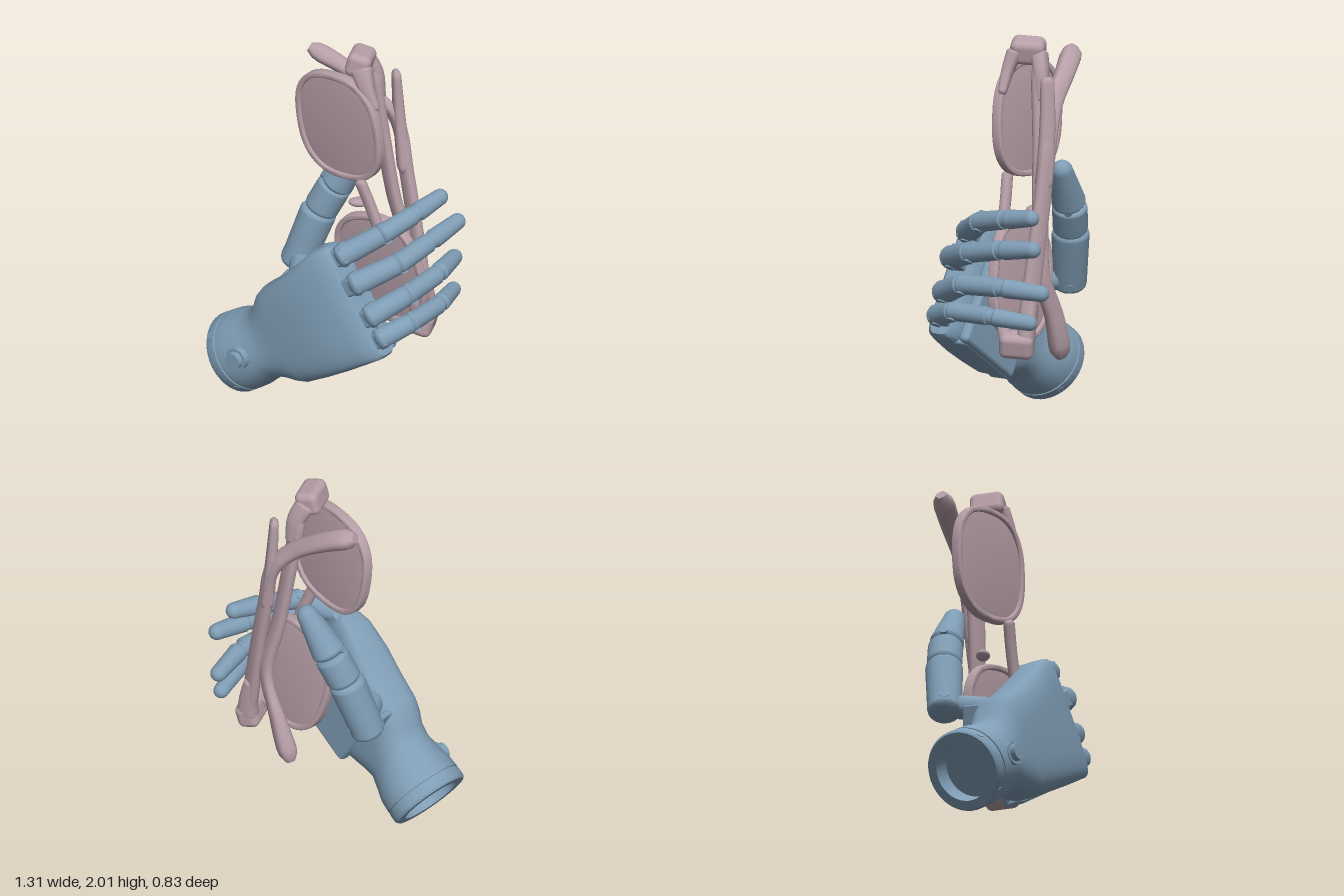
import * as THREE from 'three';
import { toCreasedNormals } from 'three/addons/utils/BufferGeometryUtils.js';
import { RoundedBoxGeometry } from 'three/addons/geometries/RoundedBoxGeometry.js';

const V = (x, y, z) => new THREE.Vector3(x, y, z);
const blue = new THREE.MeshStandardMaterial({ color: 0x7f9db5 });
const pink = new THREE.MeshStandardMaterial({ color: 0xb79fa8 });
const UP = V(0, 1, 0);
const ACROSS = [0.46, -0.83, 0.31]; // index to little finger
const ALONG = [0.66, 0.588, 0.468]; // wrist to knuckles

function part(parent, name, geometry, material) {
  const mesh = new THREE.Mesh(geometry, material);
  mesh.name = name;
  parent.add(mesh);
  return mesh;
}

// Skin through equally long closed rings of points
function loft(rings, crease = 0.7) {
  const n = rings[0].length, index = [];
  const g = new THREE.BufferGeometry().setFromPoints(rings.flat());
  for (let i = 0; i < rings.length - 1; i++) {
    for (let j = 0; j < n; j++) {
      const k = (j + 1) % n, a = i * n, b = a + n;
      index.push(a + j, a + k, b + k, a + j, b + k, b + j);
    }
  }
  g.setIndex(index);
  return toCreasedNormals(g, crease);
}

const spow = (v, e) => Math.sign(v) * Math.abs(v) ** e;

// Flattened rounded bar along a curve; width(t) and thick(t) are half sizes
function bar(parent, name, pts, hint, width, thick) {
  const curve = new THREE.CatmullRomCurve3(pts.map(p => V(...p)));
  const rings = [], N = 32;
  for (let i = 0; i <= N; i++) {
    const t = i / N, T = curve.getTangent(t), c = curve.getPoint(t);
    const W = V(...hint).addScaledVector(T, -T.dot(V(...hint))).normalize();
    const B = T.clone().cross(W);
    const ring = s => Array.from({ length: 16 }, (_, j) => {
      const q = j / 16 * Math.PI * 2;
      return c.clone().addScaledVector(W, s * width(t) * spow(Math.cos(q), 0.7))
        .addScaledVector(B, s * thick(t) * spow(Math.sin(q), 0.7));
    });
    const end = Math.min(t, 1 - t);
    if (i === 0) rings.push(ring(0));
    rings.push(ring(end === 0 ? 0.5 : end < 0.05 ? 0.9 : 1));
    if (i === N) rings.push(ring(0));
  }
  return part(parent, name, loft(rings, 0.9), pink);
}

// Tapered limb with rounded ends between two points
function limb(parent, name, a, b, r0, r1, tip = 0.5) {
  const dir = b.clone().sub(a), L = dir.length(), pts = [];
  for (let i = 0; i <= 6; i++) {
    const q = i / 6 * Math.PI / 2;
    pts.push(new THREE.Vector2(r0 * Math.sin(q), r0 * 0.5 * (1 - Math.cos(q))));
  }
  for (let i = 0; i <= 8; i++) {
    const q = i / 8 * Math.PI / 2;
    pts.push(new THREE.Vector2(r1 * Math.cos(q), L - r1 * tip * (1 - Math.sin(q))));
  }
  const m = part(parent, name, new THREE.LatheGeometry(pts, 20), blue);
  m.position.copy(a);
  m.quaternion.setFromUnitVectors(UP, dir.normalize());
  return m;
}

// Pose from a main x axis and an approximate y axis
function pose(obj, pos, x, y) {
  const X = V(...x).normalize(), Z = X.clone().cross(V(...y)).normalize();
  obj.quaternion.setFromRotationMatrix(new THREE.Matrix4().makeBasis(X, Z.clone().cross(X), Z));
  obj.position.set(...pos);
}

function pin(parent, name, r, h, pos, axis) {
  const m = part(parent, name, new THREE.CylinderGeometry(r, r, h, 20), blue);
  m.position.copy(pos);
  m.quaternion.setFromUnitVectors(UP, axis.clone().normalize());
}

function buildPalm(root) {
  // Local frame: x to the little finger, y to the knuckles, z to the back of the hand
  const g = new THREE.Group();
  g.name = 'palm';
  pose(g, [-0.505, 0.165, -0.215], ACROSS, ALONG);
  root.add(g);
  // y, centre x, half width, palm side z, back side z, squareness power
  const S = [
    [0.1, 0, 0, 0, 0, 1], [0.1, 0, 0.155, -0.155, 0.155, 1], [0, 0, 0.155, -0.155, 0.155, 1],
    [0, 0, 0.2, -0.2, 0.2, 1], [0.012, 0, 0.21, -0.21, 0.21, 1], [0.062, 0, 0.21, -0.21, 0.21, 1],
    [0.063, 0, 0.203, -0.203, 0.203, 1], [0.071, 0, 0.203, -0.203, 0.203, 1], [0.072, 0, 0.21, -0.21, 0.21, 1],
    [0.14, 0, 0.208, -0.205, 0.205, 1], [0.21, 0, 0.195, -0.18, 0.185, 0.97], [0.28, 0, 0.192, -0.15, 0.165, 0.9],
    [0.34, 0, 0.217, -0.14, 0.155, 0.8], [0.4, -0.008, 0.253, -0.135, 0.155, 0.68], [0.46, -0.01, 0.272, -0.13, 0.155, 0.58],
    [0.6, -0.013, 0.283, -0.12, 0.155, 0.52], [0.75, -0.028, 0.303, -0.11, 0.15, 0.47], [0.9, -0.045, 0.323, -0.09, 0.12, 0.42],
    [0.98, -0.04, 0.32, -0.075, 0.095, 0.42], [1.0, -0.037, 0.307, -0.06, 0.075, 0.45], [1.0, -0.037, 0, 0, 0, 0.45],
  ];
  const rings = S.map(([y, cx, hx, z0, z1, e]) => Array.from({ length: 40 }, (_, j) => {
    const q = j / 40 * Math.PI * 2;
    return V(cx + hx * spow(Math.sin(q), e), y, (z0 + z1) / 2 + (z1 - z0) / 2 * spow(Math.cos(q), e));
  }));
  part(g, 'palmShell', loft(rings), blue);
  part(g, 'palmPlate', new RoundedBoxGeometry(0.44, 0.5, 0.06, 3, 0.025), blue).position.set(0.05, 0.7, -0.11);
  part(g, 'edgePlate', new RoundedBoxGeometry(0.03, 0.46, 0.11, 3, 0.014), blue).position.set(0.262, 0.68, -0.06);
  // Round button on the back of the wrist
  pin(g, 'buttonCollar', 0.06, 0.05, V(0, 0.19, 0.185), V(0, 0, 1));
  pin(g, 'button', 0.045, 0.08, V(0, 0.19, 0.2), V(0, 0, 1));
  for (let i = 0; i < 4; i++) {
    const q = Math.PI / 4 + i * Math.PI / 2, d = V(Math.cos(q), 0, Math.sin(q));
    pin(g, 'wristScrew', 0.018, 0.01, d.clone().multiplyScalar(0.207).setY(0.035), d);
  }
}

function buildFinger(root, name, pts, r) {
  const g = new THREE.Group();
  g.name = name;
  root.add(g);
  const [k, a, b, tip] = pts.map(p => V(...p));
  const back = k.clone().addScaledVector(a.clone().sub(k).normalize(), -0.06);
  const side = V(...ACROSS);
  limb(g, 'proximal', back, a, r * 1.22, r * 1.1);
  limb(g, 'middle', a.clone().lerp(b, -0.2), b.clone().lerp(tip, 0.1), r * 1.04, r, 0.25);
  limb(g, 'fingertip', b.clone().lerp(tip, 0.13), tip, r, r * 0.84, 1);
  limb(g, 'joint', b.clone().lerp(a, 0.2), b.clone().lerp(tip, 0.3), r * 0.88, r * 0.88);
  pin(g, 'knuckleAxle', r * 0.5, r * 2.5, k, side);
  pin(g, 'jointAxle', r * 0.45, r * 2.2, a, side);
  // Bracket that holds the knuckle
  const m = part(g, 'knuckleBracket', new RoundedBoxGeometry(r * 1.9, 0.12, 0.11, 2, 0.015), blue);
  pose(m, k.clone().addScaledVector(V(...ALONG), -0.03).toArray(), ACROSS, ALONG);
}

function buildThumb(root) {
  const g = new THREE.Group();
  g.name = 'thumb';
  root.add(g);
  const base = V(-0.215, 0.61, -0.315), mid = V(-0.08, 0.97, -0.322), top = V(0.0, 1.11, -0.315), tip = V(0.148, 1.35, -0.268);
  limb(g, 'thumbBase', base, mid, 0.088, 0.096);
  limb(g, 'thumbMiddle', mid.clone().lerp(base, 0.12), top, 0.09, 0.09, 0.4);
  limb(g, 'thumbTip', top.clone().lerp(mid, 0.2), tip, 0.088, 0.056, 1.1);
  pin(g, 'thumbAxle', 0.02, 0.178, top, V(0.85, -0.5, 0.1));
  pin(g, 'thumbBaseAxle', 0.022, 0.182, V(-0.19, 0.67, -0.315), V(0.9, -0.4, 0));
  limb(g, 'thumbMount', V(-0.17, 0.66, -0.08), V(-0.18, 0.68, -0.3), 0.065, 0.06);
  for (let i = 0; i < 3; i++) {
    const m = part(g, 'thumbBracket', new RoundedBoxGeometry(0.035, 0.12, 0.13, 2, 0.01), blue);
    pose(m, [-0.245 + i * 0.05, 0.59 + i * 0.035, -0.16 + i * 0.02], [0.83, 0.3, 0.45], [-0.3, 0.9, 0]);
  }
}

function buildLens(root, name, pos, down, brow, hx, hy) {
  const g = new THREE.Group();
  g.name = name;
  pose(g, pos, down, brow);
  root.add(g);
  const outline = s => Array.from({ length: 48 }, (_, i) => {
    const q = i / 48 * Math.PI * 2;
    return new THREE.Vector2((hx - s) * spow(Math.cos(q), 0.78), (hy - s) * spow(Math.sin(q), 0.78));
  });
  const extrude = (shape, depth, bevel) => {
    const e = new THREE.ExtrudeGeometry(shape, { depth, bevelThickness: bevel, bevelSize: bevel, bevelSegments: 3 });
    return toCreasedNormals(e.translate(0, 0, -depth / 2), 0.6);
  };
  const rim = new THREE.Shape(outline(0.008));
  rim.holes.push(new THREE.Path(outline(0.022)));
  part(g, 'rim', extrude(rim, 0.036, 0.008), pink);
  part(g, 'lens', extrude(new THREE.Shape(outline(0.018)), 0.018, 0.003), pink);
}

function buildGlasses(root) {
  const g = new THREE.Group();
  g.name = 'foldedGlasses';
  root.add(g);
  buildLens(g, 'upperLens', [0.025, 1.56, -0.1], [0.12, -0.98, 0.02], [0.8, 0.04, 0.6], 0.3, 0.27);
  buildLens(g, 'lowerLens', [0.24, 0.765, -0.065], [0.25, -0.95, 0.04], [0.8, 0.2, 0.55], 0.31, 0.265);
  const c = v => () => v;
  bar(g, 'bridge', [[0.13, 1.3, 0], [0.18, 1.17, 0.01], [0.24, 1.0, 0.03]], [0.8, 0, 0.6], c(0.03), c(0.024));
  const pad = part(g, 'nosePad', new THREE.SphereGeometry(0.045, 16, 12), pink);
  pad.position.set(0.12, 1.1, -0.13);
  pad.scale.set(1.2, 0.5, 0.8);
  // Solid hinge corners with legs tapering into the rim and the arm
  const hinges = [
    ['upperHinge', [0.13, 1.93, -0.105], [[0.135, 1.93, -0.04], [0.165, 1.83, 0.0], [0.215, 1.72, 0.03]], [[0.145, 1.93, -0.16], [0.195, 1.83, -0.17], [0.215, 1.68, -0.17]], 0.125],
    ['lowerHinge', [0.455, 0.475, -0.045], [[0.455, 0.48, -0.005], [0.425, 0.57, 0.025], [0.405, 0.66, 0.045]], [[0.465, 0.48, -0.09], [0.455, 0.6, -0.105], [0.435, 0.72, -0.12]], 0.115],
  ];
  for (const [name, pos, front, rear, w] of hinges) {
    pose(part(g, name, new RoundedBoxGeometry(w, 0.13, 0.175, 4, 0.035), pink), pos, [1, -0.25, 0.2], [0.25, 1, 0]);
    bar(g, name + 'FrontLeg', front, [1, 0.2, 0.3], t => 0.058 - 0.035 * t, t => 0.04 - 0.02 * t);
    bar(g, name + 'RearLeg', rear, [1, 0.2, 0.3], t => 0.055 - 0.015 * t, t => 0.042 - 0.008 * t);
  }
  // Folded arms, narrowing and then swelling into the ear tips
  const w = t => 0.055 - 0.01 * Math.sin(t * Math.PI);
  const th = t => 0.028 + 0.02 * THREE.MathUtils.smoothstep(t, 0.65, 0.95);
  bar(g, 'upperArm', [[0.18, 1.9, -0.165], [0.235, 1.5, -0.17], [0.29, 1.15, -0.165], [0.355, 0.82, -0.17], [0.28, 0.58, -0.235], [0.21, 0.355, -0.27]],
    [0.6, 0, 0.8], w, th);
  bar(g, 'lowerArm', [[0.47, 0.44, -0.08], [0.42, 0.85, -0.13], [0.36, 1.25, -0.18], [0.31, 1.53, -0.21], [0.2, 1.67, -0.235], [0.04, 1.79, -0.29], [-0.14, 1.88, -0.335]],
    [0.6, 0.2, 0.8], w, th);
  bar(g, 'armSpur', [[0.35, 1.25, -0.18], [0.32, 1.58, -0.2], [0.305, 1.83, -0.2]], [0.3, 0, 0.95], t => 0.045 - 0.01 * t, t => 0.036 - 0.014 * t);
}

export function createModel() {
  const root = new THREE.Group();
  root.name = 'handHoldingGlasses';
  buildPalm(root);
  buildFinger(root, 'indexFinger', [[0.07, 0.98, 0.195], [0.26, 1.07, 0.138], [0.39, 1.11, 0.03], [0.56, 1.155, -0.145]], 0.05);
  buildFinger(root, 'middleFinger', [[0.14, 0.86, 0.275], [0.345, 0.93, 0.187], [0.47, 0.97, 0.06], [0.645, 1.01, -0.155]], 0.051);
  buildFinger(root, 'ringFinger', [[0.22, 0.7, 0.315], [0.395, 0.775, 0.225], [0.515, 0.79, 0.07], [0.615, 0.77, -0.205]], 0.05);
  buildFinger(root, 'littleFinger', [[0.275, 0.59, 0.345], [0.415, 0.64, 0.272], [0.53, 0.645, 0.12], [0.61, 0.615, -0.145]], 0.047);
  buildThumb(root);
  buildGlasses(root);
  return root;
}
